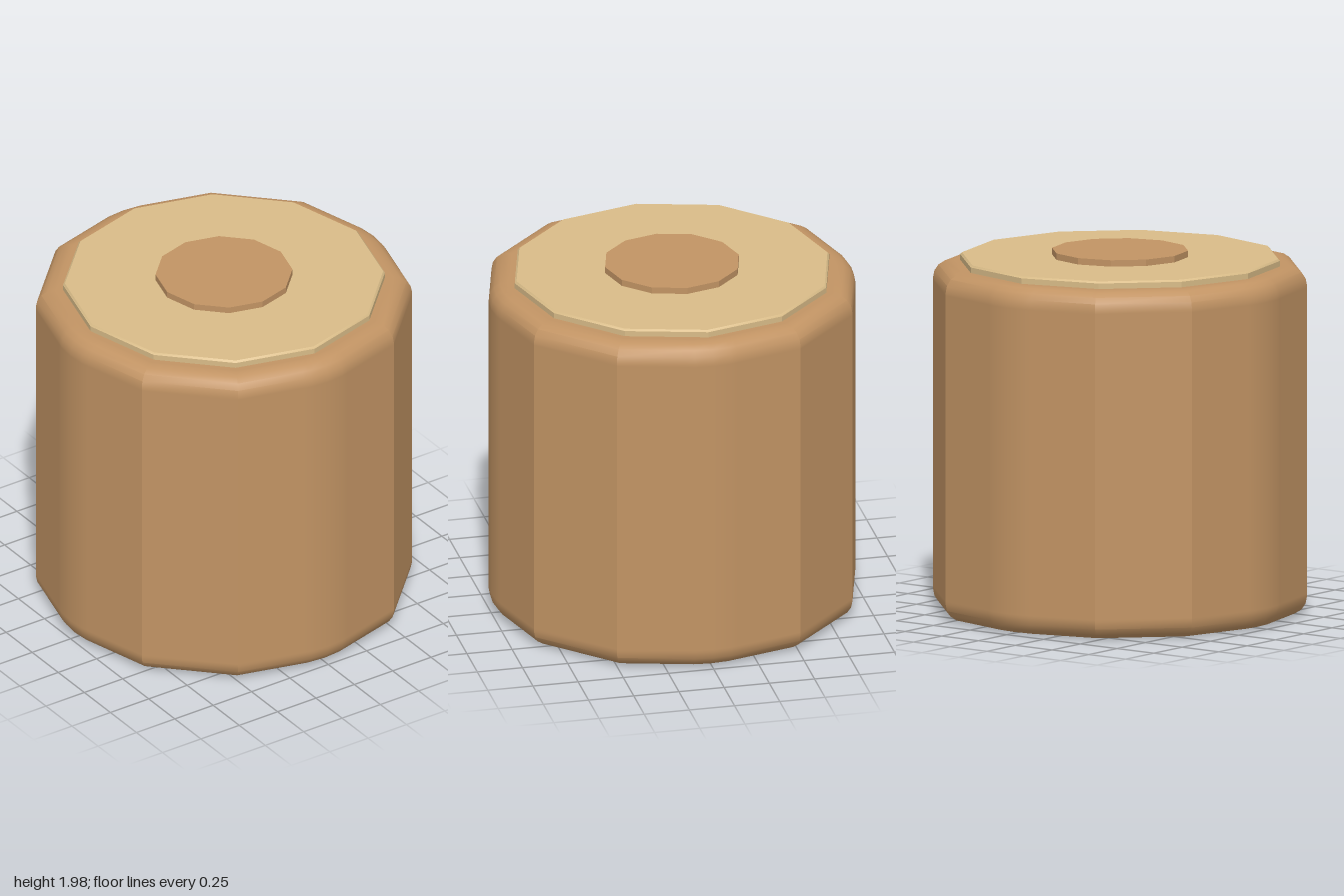
import * as THREE from 'three';
import { toCreasedNormals } from 'three/addons/utils/BufferGeometryUtils.js';

// Twelve-sided outline with corners on the axes
const dodecagon = Array.from({ length: 12 }, (_, i) => {
  const a = (i * Math.PI) / 6;
  return [Math.cos(a), Math.sin(a)];
});

// Body outline: same twelve sides, with the four corners on the axes softened
function bodyOutline() {
  const quarter = [[1, 0], [0.991, 0.1], [0.98, 0.14], [0.881, 0.508],
    [0.508, 0.881], [0.14, 0.98], [0.1, 0.991]];
  const points = [];
  for (let q = 0; q < 4; q++) {
    const c = Math.round(Math.cos((q * Math.PI) / 2));
    const s = Math.round(Math.sin((q * Math.PI) / 2));
    for (const [x, z] of quarter) points.push([x * c - z * s, x * s + z * c]);
  }
  return points;
}

// Sweeps an outline through [scale, y] rows, from bottom centre to top centre
function loft(outline, rows) {
  const pos = [];
  const n = outline.length;
  const at = ([s, y], i) => [outline[i % n][0] * s, y, outline[i % n][1] * s];
  for (let r = 0; r < rows.length - 1; r++) {
    const low = rows[r], up = rows[r + 1];
    for (let i = 0; i < n; i++) {
      if (low[0] > 0) pos.push(...at(low, i), ...at(up, i), ...at(low, i + 1));
      if (up[0] > 0) pos.push(...at(up, i), ...at(up, i + 1), ...at(low, i + 1));
    }
  }
  const geo = new THREE.BufferGeometry();
  geo.setAttribute('position', new THREE.Float32BufferAttribute(pos, 3));
  return toCreasedNormals(geo, THREE.MathUtils.degToRad(25));
}

export function createModel() {
  const group = new THREE.Group();
  const bark = new THREE.MeshStandardMaterial({ name: 'warm brown', color: 0xc29464 });
  const cut = new THREE.MeshStandardMaterial({ name: 'pale tan', color: 0xd9bc88 });

  const add = (name, geometry, material) => {
    const mesh = new THREE.Mesh(geometry, material);
    mesh.name = name;
    group.add(mesh);
  };

  // Body with rounded rims
  const height = 1.9, bevel = 0.1, steps = 4;
  const rim = [];
  for (let i = 0; i <= steps; i++) {
    const a = (i / steps) * (Math.PI / 2);
    rim.push([1 - bevel + bevel * Math.sin(a), bevel * (1 - Math.cos(a))]);
  }
  const half = [[0, 0], [0.885, 0], ...rim, [1, bevel + 0.015]];
  const mirrored = half.map(([s, y]) => [s, height - y]).reverse();
  add('body', loft(bodyOutline(), [...half, ...mirrored]), bark);

  // Pale top plate with a fine chamfer
  add('topPlate', loft(dodecagon, [
    [0, 1.89], [0.87, 1.89], [0.87, 1.93], [0.86, 1.94], [0, 1.94],
  ]), cut);

  // Centre disc
  add('centreDisc', loft(dodecagon, [
    [0, 1.935], [0.37, 1.935], [0.37, 1.975], [0, 1.975],
  ]), bark);

  return group;
}
